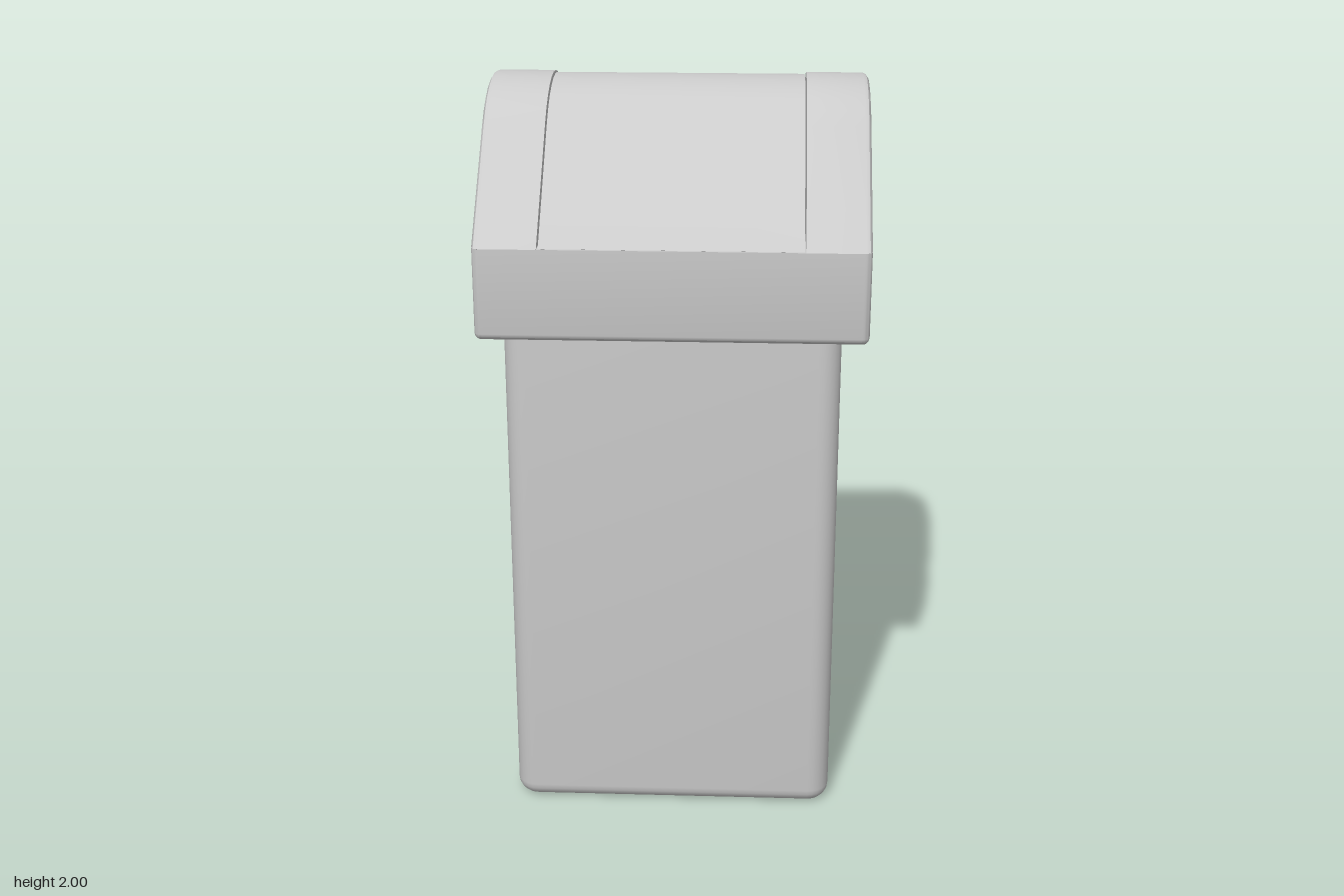
import * as THREE from 'three';
import { toCreasedNormals } from 'three/addons/utils/BufferGeometryUtils.js';

const V2 = (x, y) => new THREE.Vector2(x, y);

// Moves a counter-clockwise outline inward by d
function inset(points, d) {
  const n = points.length;
  const normal = (a, b) => V2(a.y - b.y, b.x - a.x).normalize();
  return points.map((p, i) => {
    const n1 = normal(points[(i + n - 1) % n], p);
    const n2 = normal(p, points[(i + 1) % n]);
    return p.clone().addScaledVector(n1.clone().add(n2), d / (1 + n1.dot(n2)));
  });
}

// Closed solid through insets of one outline; levels are [height, inset]
function loft(outline, levels, place) {
  const rings = levels.map(([h, d]) => inset(outline, d).map((p) => place(p, h)));
  const n = outline.length;
  const last = (rings.length - 1) * n;
  const index = [];
  for (let i = 0; i < rings.length - 1; i++) {
    for (let j = 0; j < n; j++) {
      const a = i * n + j, b = i * n + (j + 1) % n;
      index.push(a, b, b + n, a, b + n, a + n);
    }
  }
  for (const [a, b, c] of THREE.ShapeUtils.triangulateShape(outline, [])) {
    index.push(a, c, b, last + a, last + b, last + c);
  }
  const geometry = new THREE.BufferGeometry().setFromPoints(rings.flat());
  geometry.setIndex(index);
  return toCreasedNormals(geometry, 0.6);
}
const upward = (p, h) => new THREE.Vector3(p.x, h, -p.y);
const sideways = (p, h) => new THREE.Vector3(h, p.y, -p.x);

// Rounded rectangle, optionally with a shallow channel in both sides
function plan(hw, hd, r, channel = 0) {
  const half = [];
  const corner = (sign, start) => {
    for (let i = 0; i <= 6; i++) {
      const a = start + (i / 6) * Math.PI / 2;
      half.push(V2(hw - r + r * Math.cos(a), sign * (hd - r) + r * Math.sin(a)));
    }
  };
  corner(-1, -Math.PI / 2);
  if (channel) {
    const bend = (i) => channel * (1 - Math.cos(Math.PI * i / 8)) / 2;
    for (let i = 0; i <= 8; i++) half.push(V2(hw - bend(i), -0.235 + 0.11 * i / 8));
    for (let i = 8; i >= 0; i--) half.push(V2(hw - bend(i), 0.235 - 0.11 * i / 8));
  }
  corner(1, 0);
  return [...half, ...half.map((p) => V2(-p.x, -p.y))];
}

// Rounded lower edge as loft levels
function roundedBase(y, r, steps, top) {
  const levels = [];
  for (let i = 0; i <= steps; i++) {
    const a = (i / steps) * Math.PI / 2;
    levels.push([y + r * (1 - Math.cos(a)), r * (1 - Math.sin(a))]);
  }
  return [...levels, [top, 0]];
}

// Gable outline with a rounded ridge
function roofProfile() {
  const R = 0.326;
  const points = [V2(-0.45, 1.59), V2(0.45, 1.59), V2(0.5, 1.635)];
  for (let i = 0; i <= 10; i++) {
    const a = Math.PI / 4 + (i / 10) * Math.PI / 2;
    points.push(V2(R * Math.cos(a), 2 - R + R * Math.sin(a)));
  }
  points.push(V2(-0.5, 1.635));
  return points;
}

export function createModel() {
  const group = new THREE.Group();
  const material = new THREE.MeshStandardMaterial({ color: 0xcccccc });
  const add = (name, geometry) => {
    const mesh = new THREE.Mesh(geometry, material);
    mesh.name = name;
    group.add(mesh);
    return mesh;
  };

  // Bin with channelled sides and a rounded base
  add('binBody', loft(plan(0.445, 0.48, 0.06, 0.05), roundedBase(0, 0.045, 5, 1.42), upward));

  // Lid rim overhanging the bin
  add('lidRim', loft(plan(0.514, 0.5, 0.02), roundedBase(1.388, 0.018, 3, 1.635), upward));

  // Lid ends on either side of the flap
  const roof = roofProfile();
  const end = loft(roof, [[0.345, 0], [0.498, 0], [0.508, 0.004], [0.514, 0.014]], sideways);
  add('leftLidEnd', end);
  add('rightLidEnd', end).rotation.y = Math.PI;

  // Swing flap, set slightly below the lid ends
  add('swingFlap', loft(inset(roof, 0.005), [[-0.341, 0], [0.341, 0]], sideways));

  return group;
}
